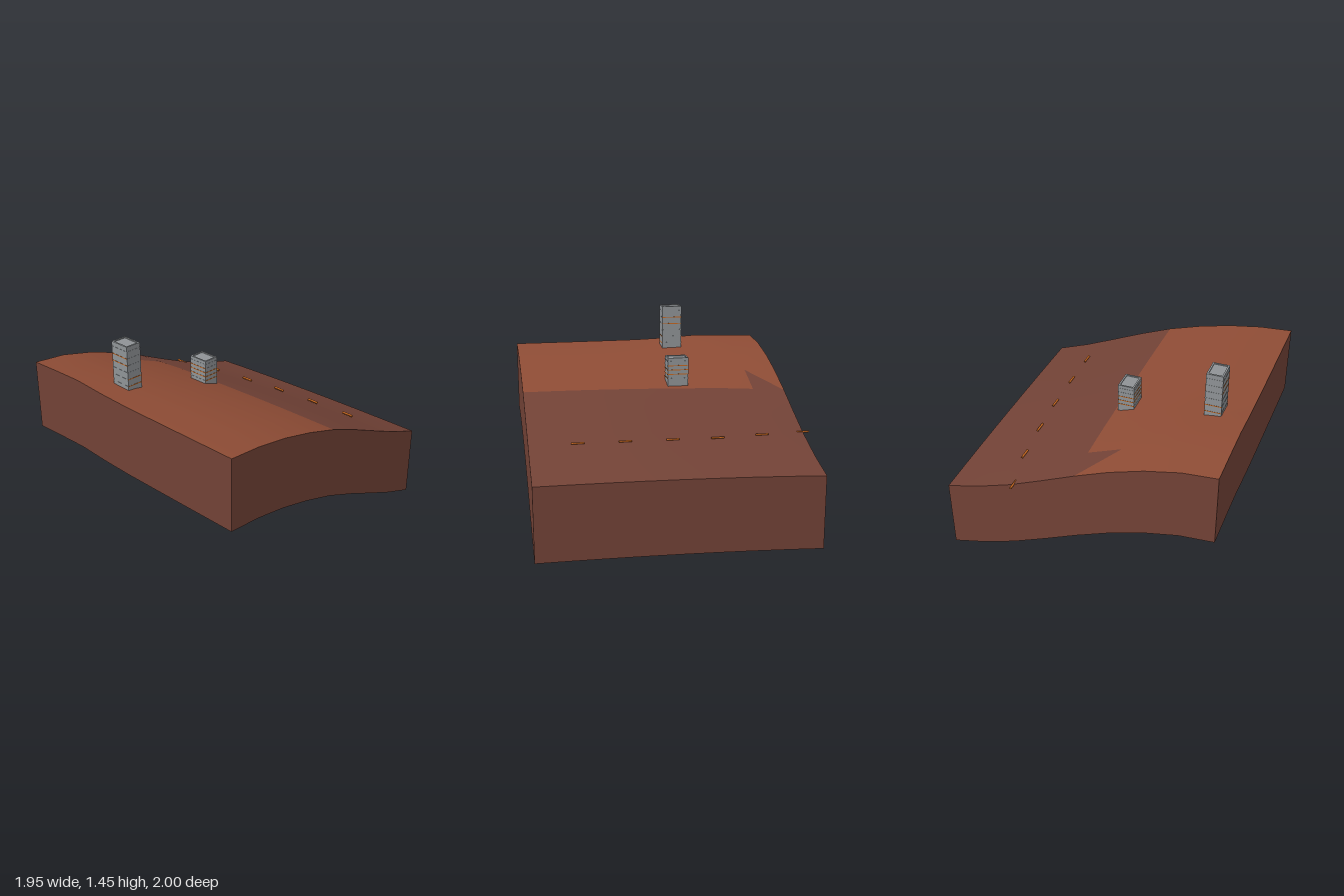
import * as THREE from 'three';

const mat = (name, color, side = THREE.FrontSide) => {
  const m = new THREE.MeshStandardMaterial({ color, side });
  m.name = name;
  return m;
};

// Height of the slope along x, at the front edge and at the back edge
const FRONT = [1.138, 1.122, 1.085, 1.028, 0.955, 0.86, 0.755, 0.652, 0.565];
const BACK = [1.145, 1.125, 1.07, 0.99, 0.89, 0.78, 0.675, 0.59, 0.525];
const N = 8, X0 = -0.977, Z0 = -0.955, STEP = 0.2443, DEPTH = 0.52;
const px = (i) => X0 + i * STEP;
const pz = (j) => Z0 + j * STEP;
function height(i, j) {
  const z = pz(j);
  const w = Math.pow((1 - z) / 1.955, 2.3);
  const bump = 0.022 * Math.exp(-(((z + 0.52) / 0.28) ** 2)) * Math.max(0, 1 - i / 5);
  return FRONT[i] + (BACK[i] - FRONT[i]) * w + bump;
}

export function createModel() {
  const model = new THREE.Group();
  const lightEarth = mat('light earth', 0x8e4c35, THREE.DoubleSide);
  const darkEarth = mat('dark earth', 0x724236, THREE.DoubleSide);
  const concrete = mat('concrete', 0x8f9396);
  const orange = mat('orange', 0xc4661f);

  const add = (parent, name, geometry, material, x = 0, y = 0, z = 0) => {
    const mesh = new THREE.Mesh(geometry, material);
    mesh.name = name;
    mesh.position.set(x, y, z);
    parent.add(mesh);
    return mesh;
  };

  // Sloping ground: a grid whose steep triangles take the darker colour
  const pos = [], light = [], dark = [];
  for (let j = 0; j <= N; j++) {
    for (let i = 0; i <= N; i++) pos.push(px(i), height(i, j), pz(j));
  }
  for (let j = 0; j < N; j++) {
    for (let i = 0; i < N; i++) {
      const a = j * (N + 1) + i, b = a + N + 1, c = b + 1, d = a + 1;
      (i >= 4 ? dark : light).push(a, b, d);
      (i >= 4 || (i === 3 && j === 0) ? dark : light).push(b, c, d);
    }
  }
  const ground = new THREE.BufferGeometry();
  ground.setAttribute('position', new THREE.Float32BufferAttribute(pos, 3));
  ground.setIndex([...light, ...dark]);
  ground.addGroup(0, light.length, 0);
  ground.addGroup(light.length, dark.length, 1);
  ground.computeVertexNormals();
  add(model, 'ground', ground, [lightEarth, darkEarth]);

  // Skirt walls hang from each edge; the underside stays open
  const wall = (name, cell) => {
    const p = [], index = [];
    for (let k = 0; k <= N; k++) {
      const [i, j] = cell(k);
      const y = height(i, j);
      p.push(px(i), y, pz(j), px(i), y - DEPTH, pz(j));
      if (k < N) index.push(2 * k, 2 * k + 1, 2 * k + 2, 2 * k + 1, 2 * k + 3, 2 * k + 2);
    }
    const g = new THREE.BufferGeometry();
    g.setAttribute('position', new THREE.Float32BufferAttribute(p, 3));
    g.setIndex(index);
    g.computeVertexNormals();
    add(model, name, g, darkEarth);
  };
  wall('frontWall', (k) => [k, N]);
  wall('leftWall', (k) => [N, N - k]);
  wall('backWall', (k) => [N - k, 0]);
  wall('rightWall', (k) => [0, k]);

  // Towers with thin bands at each floor, some of them orange on each face
  const W = 0.118, D = 0.154, T = 0.006;
  const tower = (name, x, z, base, top, first, gap, floors, frontLit, sideLit) => {
    const g = new THREE.Group();
    g.name = name;
    add(g, 'towerBody', new THREE.BoxGeometry(W, top - base, D), concrete, x, (top + base) / 2, z);
    for (let f = 0; f < floors; f++) {
      const y = first + f * gap;
      const zBand = frontLit.includes(f) ? orange : concrete;
      const xBand = sideLit.includes(f) ? orange : concrete;
      for (const s of [-1, 1]) {
        add(g, 'floorBand', new THREE.BoxGeometry(W, T, 0.003), zBand, x, y, z + s * D / 2);
        add(g, 'floorBand', new THREE.BoxGeometry(0.003, T, D), xBand, x + s * W / 2, y, z);
      }
    }
    // Low roof parapet
    for (const s of [-1, 1]) {
      add(g, 'parapet', new THREE.BoxGeometry(W, 0.006, 0.012), concrete, x, top + 0.003, z + s * (D / 2 - 0.006));
      add(g, 'parapet', new THREE.BoxGeometry(0.012, 0.006, D - 0.024), concrete, x + s * (W / 2 - 0.006), top + 0.003, z);
    }
    model.add(g);
  };
  tower('tallTower', -0.737, -0.222, 1.1, 1.445, 1.16, 0.051, 6, [0, 1], [3, 4]);
  tower('shortTower', -0.085, -0.142, 0.95, 1.155, 1.007, 0.032, 5, [0, 1, 2], [1, 2, 3]);

  // Line of small markers across the lower slope
  const markers = [
    [0.455, 0.688, -0.955], [0.523, 0.703, -0.633], [0.559, 0.705, -0.305],
    [0.58, 0.716, 0.015], [0.591, 0.723, 0.345], [0.597, 0.727, 0.67],
  ];
  for (const [x, y, z] of markers) {
    const m = add(model, 'marker', new THREE.BoxGeometry(0.014, 0.011, 0.09), orange, x, y, z);
    m.rotation.z = 0.4;
  }
  return model;
}
